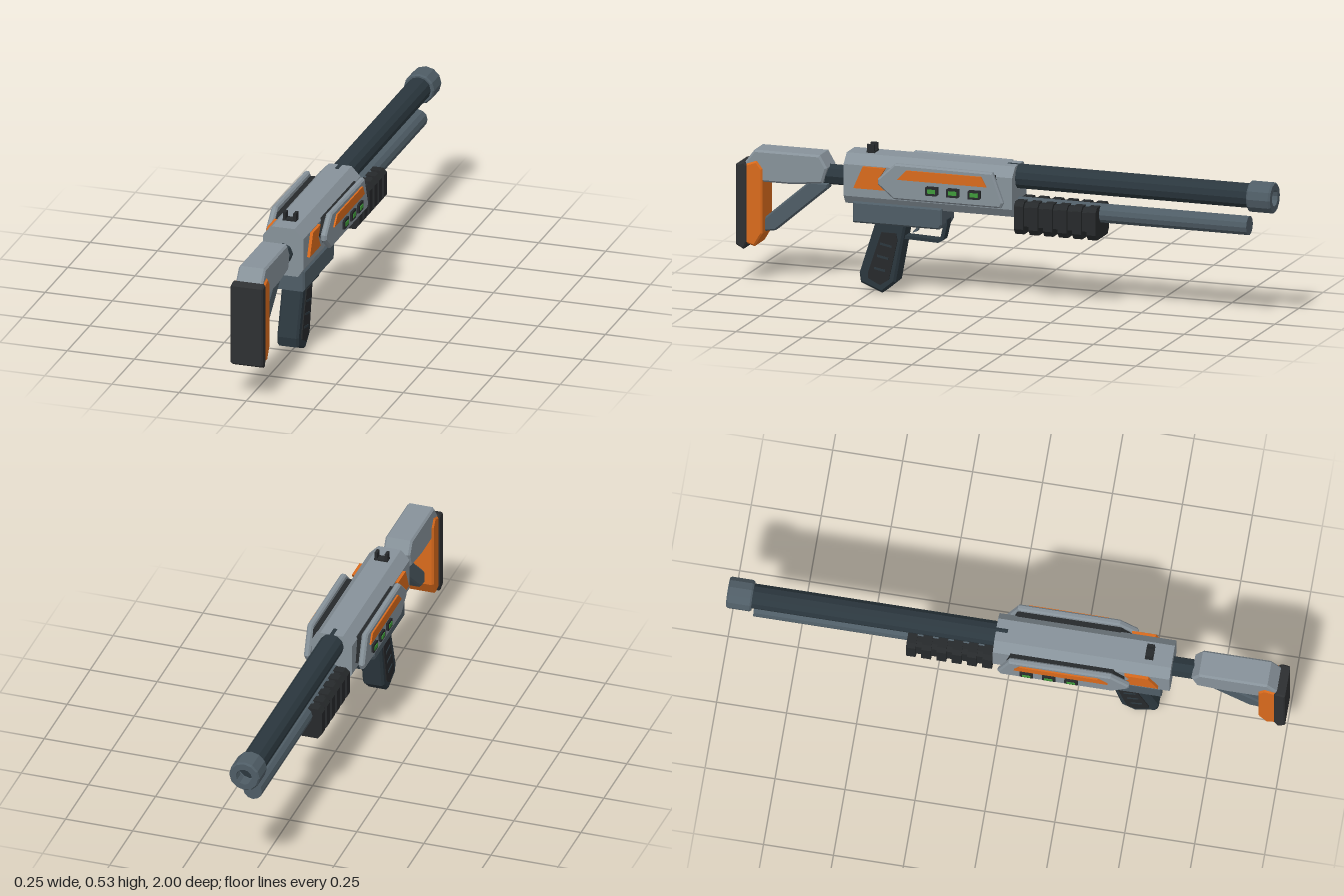
import * as THREE from 'three';

const COLORS = {
  grey: 0x87929a, slate: 0x4f5d66, dark: 0x2b373e, black: 0x26292b,
  pad: 0x2e3032, orange: 0xd96a1c, green: 0x3f9a3a,
};
const mats = {};
for (const k in COLORS) {
  mats[k] = new THREE.MeshStandardMaterial({ color: COLORS[k], flatShading: true });
}

const toShape = (pts) => new THREE.Shape(pts.map(([a, b]) => new THREE.Vector2(a, b)));

export function createModel() {
  const group = new THREE.Group();

  const add = (name, geo, mat) => {
    const mesh = new THREE.Mesh(geo, mats[mat]);
    mesh.name = name;
    group.add(mesh);
    return mesh;
  };

  // Side profile given as [z, y], extruded across x and centred on cx
  const slab = (name, pts, width, mat, cx = 0, bevel = 0) => {
    const geo = new THREE.ExtrudeGeometry(toShape(pts), {
      depth: width - 2 * bevel, bevelEnabled: bevel > 0, bevelSize: bevel,
      bevelThickness: bevel, bevelOffset: -bevel, bevelSegments: 1,
    });
    geo.translate(0, 0, -(width - 2 * bevel) / 2).rotateY(-Math.PI / 2).translate(cx, 0, 0);
    return add(name, geo, mat);
  };

  // Cross-section given as [x, y], mirrored in x and extruded from z0 to z1
  const prism = (name, half, z0, z1, mat) => {
    const pts = [...half, ...half.map(([x, y]) => [-x, y]).reverse()];
    const geo = new THREE.ExtrudeGeometry(toShape(pts), { depth: z1 - z0, bevelEnabled: false });
    return add(name, geo.translate(0, 0, z0), mat);
  };

  const box = (name, w, h, d, x, y, z, mat) =>
    add(name, new THREE.BoxGeometry(w, h, d).translate(x, y, z), mat);

  const rod = (name, r, z0, z1, y, mat, sides = 12) =>
    add(name, new THREE.CylinderGeometry(r, r, z1 - z0, sides)
      .rotateX(Math.PI / 2).translate(0, y, (z0 + z1) / 2), mat);

  // Barrel, muzzle ring with a bore, and lower tube
  rod('barrel', 0.045, -0.93, 0, 0.462, 'dark');
  const ring = [[0.03, 0.05], [0.03, 0.09], [0.052, 0.09], [0.057, 0.083],
    [0.057, 0.006], [0.052, 0], [0.03, 0]].reverse();
  add('muzzle', new THREE.LatheGeometry(ring.map(([r, h]) => new THREE.Vector2(r, h)), 12)
    .rotateX(-Math.PI / 2).translate(0, 0.461, -0.91), 'slate').material =
    new THREE.MeshStandardMaterial({
      color: COLORS.slate, flatShading: true, side: THREE.DoubleSide,
    });
  rod('lowerTube', 0.035, -0.905, 0, 0.353, 'slate');

  // Ribbed sliding fore-end
  const foreHalf = (w, low, top) =>
    [[w - 0.015, low], [w, low + 0.02], [w, top - 0.015], [w - 0.015, top]];
  prism('foreEndCore', foreHalf(0.06, 0.275, 0.378), -0.345, -0.05, 'black');
  for (let i = 0; i < 6; i++) {
    const z = -0.353 + i * 0.0545;
    prism('foreEndRib', foreHalf(0.07, 0.265, 0.383), z, z + 0.034, 'black');
  }

  // Receiver with chamfered section and a block below it
  prism('receiver', [[0.055, 0.325], [0.075, 0.355], [0.075, 0.47], [0.042, 0.505]],
    -0.042, 0.59, 'grey');
  slab('lowerReceiver', [[0.56, 0.258], [0.235, 0.258], [0.225, 0.275], [0.225, 0.335],
    [0.56, 0.335]], 0.136, 'slate', 0, 0.006);

  // Rear sight posts
  for (const s of [-1, 1]) box('sightPost', 0.01, 0.024, 0.026, s * 0.019, 0.523, 0.508, 'black');
  box('sightBase', 0.05, 0.008, 0.03, 0, 0.507, 0.508, 'black');

  // Side panels, mirrored
  for (const s of [-1, 1]) {
    slab('arrowPanel', [[0.55, 0.388], [0.515, 0.468], [0.43, 0.468], [0.455, 0.43],
      [0.43, 0.388]], 0.014, 'orange', s * 0.079);
    slab('panelMount', [[0.43, 0.43], [0.39, 0.475], [0.02, 0.475], [0, 0.38], [0.38, 0.38]],
      0.028, 'black', s * 0.084);
    slab('sidePanel', [[0.45, 0.435], [0.385, 0.495], [0.02, 0.492], [-0.02, 0.385],
      [-0.01, 0.366], [0.39, 0.366], [0.45, 0.415]], 0.023, 'grey', s * 0.1015, 0.006);
    slab('panelStripe', [[0.375, 0.44], [0.34, 0.476], [0.06, 0.476], [0.04, 0.44]],
      0.01, 'orange', s * 0.114);
    for (const z of [0.085, 0.165, 0.245]) {
      slab('lightFrame', [[z + 0.024, 0.392], [z + 0.024, 0.42], [z + 0.018, 0.425],
        [z - 0.024, 0.425], [z - 0.024, 0.397], [z - 0.018, 0.392]], 0.012, 'black', s * 0.115);
      box('light', 0.006, 0.015, 0.03, s * 0.1205, 0.408, z, 'green');
    }
  }

  // Pistol grip with recessed-looking side plates
  slab('grip', [[0.48, 0.275], [0.365, 0.275], [0.375, 0.235], [0.41, 0.045], [0.46, 0.003],
    [0.54, 0.035], [0.545, 0.07]], 0.08, 'dark', 0, 0.008);
  for (const s of [-1, 1]) {
    slab('gripPlate', [[0.46, 0.225], [0.405, 0.225], [0.4, 0.2], [0.432, 0.055],
      [0.465, 0.033], [0.51, 0.055], [0.51, 0.075]], 0.008, 'black', s * 0.04);
    for (let i = 0; i < 3; i++) {
      const y = 0.09 + i * 0.045;
      slab('gripRidge', [[0.487 - i * 0.012, y], [0.445 - i * 0.012, y - 0.008],
        [0.445 - i * 0.012, y], [0.487 - i * 0.012, y + 0.008]], 0.006, 'dark', s * 0.043);
    }
  }

  // Trigger and its guard
  slab('triggerGuard', [[0.385, 0.215], [0.385, 0.203], [0.255, 0.198], [0.235, 0.21],
    [0.222, 0.265], [0.222, 0.285], [0.236, 0.285], [0.236, 0.265], [0.247, 0.217],
    [0.258, 0.21]], 0.04, 'dark');
  slab('trigger', [[0.325, 0.265], [0.337, 0.232], [0.355, 0.224], [0.352, 0.232],
    [0.342, 0.242], [0.338, 0.265]], 0.018, 'slate');

  // Stock: connecting rod, cheek piece, brace and butt
  rod('stockRod', 0.037, 0.58, 0.87, 0.41, 'dark', 8);
  slab('cheekPiece', [[0.985, 0.42], [0.935, 0.486], [0.69, 0.486], [0.663, 0.44],
    [0.68, 0.385], [0.79, 0.372], [0.96, 0.372]], 0.1, 'grey', 0, 0.007);
  slab('stockBrace', [[0.74, 0.38], [0.665, 0.38], [0.67, 0.36], [0.865, 0.193],
    [0.92, 0.185], [0.92, 0.225]], 0.046, 'slate', 0, 0.006);
  slab('buttSpacer', [[0.975, 0.43], [0.925, 0.448], [0.903, 0.42], [0.903, 0.185],
    [0.932, 0.137], [0.975, 0.15]], 0.112, 'orange', 0, 0.006);
  slab('buttPad', [[1, 0.432], [0.97, 0.442], [0.96, 0.43], [0.96, 0.15],
    [0.972, 0.125], [1, 0.14]], 0.12, 'pad', 0, 0.005);

  return group;
}
